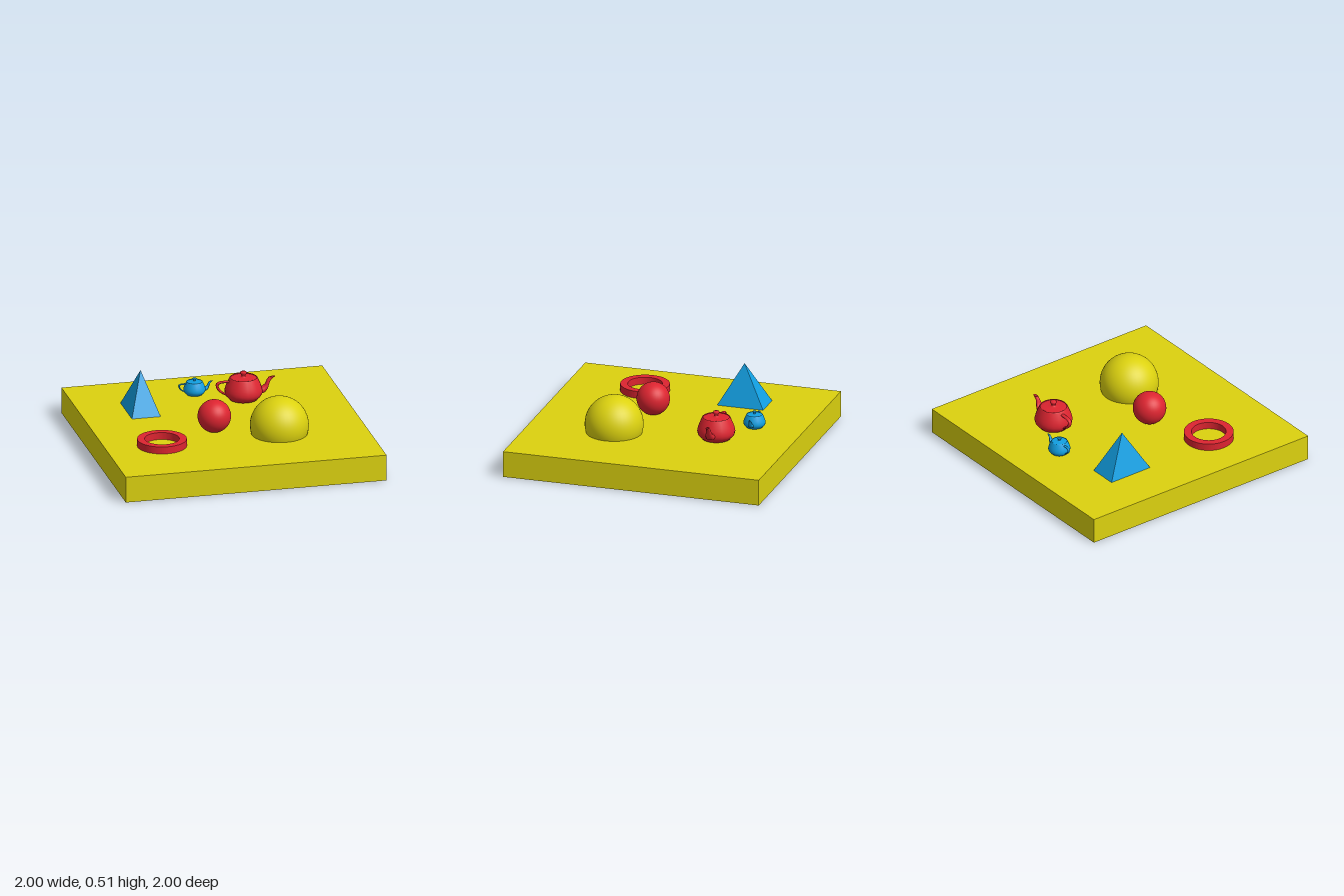
import * as THREE from 'three';

const flat = (name, color, side = THREE.FrontSide) => {
  const m = new THREE.MeshStandardMaterial({ color, side });
  m.name = name;
  return m;
};

const bez = (p, t) => {
  const s = 1 - t;
  return s * s * s * p[0] + 3 * s * s * t * p[1] + 3 * s * t * t * p[2] + t * t * t * p[3];
};

const STEPS = 5;

// Revolve a chain of cubic curves, each given as four [radius, height] pairs
function turned(curves) {
  const pts = [];
  curves.forEach((c, k) => {
    for (let i = k ? 1 : 0; i <= STEPS; i++) {
      const t = i / STEPS;
      pts.push(new THREE.Vector2(bez(c.map(p => p[0]), t), bez(c.map(p => p[1]), t)));
    }
  });
  return new THREE.LatheGeometry(pts, 20);
}

// Tube between an upper and a lower curve in the xy plane, with a varying width in z
function swept(sections) {
  const SIDES = 12, pos = [], idx = [];
  let rings = 0;
  sections.forEach(({ upper, lower, width }, k) => {
    for (let i = k ? 1 : 0; i <= STEPS; i++, rings++) {
      const t = i / STEPS;
      const a = [0, 1].map(j => bez(upper.map(p => p[j]), t));
      const b = [0, 1].map(j => bez(lower.map(p => p[j]), t));
      const w = bez(width, t);
      for (let s = 0; s < SIDES; s++) {
        const half = s < SIDES / 2;
        const u = half ? s / (SIDES / 2) : 2 - s / (SIDES / 2);
        const f = u * u * (3 - 2 * u);
        pos.push(a[0] + (b[0] - a[0]) * f, a[1] + (b[1] - a[1]) * f, (half ? 1 : -1) * 3 * u * (1 - u) * w);
      }
    }
  });
  for (let r = 0; r < rings - 1; r++) {
    for (let s = 0; s < SIDES; s++) {
      const a = r * SIDES + s, b = r * SIDES + (s + 1) % SIDES;
      idx.push(a, b, a + SIDES, b, b + SIDES, a + SIDES);
    }
  }
  const g = new THREE.BufferGeometry();
  g.setAttribute('position', new THREE.Float32BufferAttribute(pos, 3));
  g.setIndex(idx);
  g.computeVertexNormals();
  return g;
}

function add(parent, name, geometry, material, x = 0, y = 0, z = 0) {
  const mesh = new THREE.Mesh(geometry, material);
  mesh.name = name;
  mesh.position.set(x, y, z);
  parent.add(mesh);
  return mesh;
}

// Teapot with its spout towards +x, in units of half the body radius
function teapot(name, material) {
  const g = new THREE.Group();
  g.name = name;
  add(g, 'potBody', turned([
    [[0, 0], [1.425, 0], [1.5, 0.075], [1.5, 0.15]],
    [[1.5, 0.15], [1.5, 0.225], [2, 0.45], [2, 0.9]],
    [[2, 0.9], [2, 1.35], [1.75, 1.875], [1.5, 2.4]],
    [[1.5, 2.4], [1.4375, 2.53], [1.3375, 2.53], [1.4, 2.4]],
  ]), material);
  add(g, 'potLid', turned([
    [[1.4, 2.4], [1.4, 2.4], [1.3, 2.4], [1.3, 2.4]],
    [[1.3, 2.4], [1.3, 2.47], [0.4, 2.45], [0.2, 2.55]],
    [[0.2, 2.55], [0, 2.7], [0.8, 3.15], [0, 3.15]],
  ]), material);
  add(g, 'potHandle', swept([
    {
      upper: [[-1.5, 2.25], [-2.5, 2.25], [-3, 2.25], [-3, 1.8]],
      lower: [[-1.6, 2.025], [-2.3, 2.025], [-2.7, 2.025], [-2.7, 1.8]],
      width: [0.3, 0.3, 0.3, 0.3],
    }, {
      upper: [[-3, 1.8], [-3, 1.35], [-2.65, 0.9375], [-1.9, 0.6]],
      lower: [[-2.7, 1.8], [-2.7, 1.575], [-2.5, 1.125], [-2, 0.9]],
      width: [0.3, 0.3, 0.3, 0.3],
    },
  ]), material);
  add(g, 'potSpout', swept([
    {
      upper: [[1.7, 1.275], [2.6, 1.275], [2.3, 1.95], [2.7, 2.25]],
      lower: [[1.7, 0.45], [3.1, 0.675], [2.4, 1.875], [3.3, 2.25]],
      width: [0.66, 0.66, 0.25, 0.25],
    }, {
      upper: [[2.7, 2.25], [2.8, 2.325], [2.9, 2.325], [2.8, 2.25]],
      lower: [[3.3, 2.25], [3.525, 2.344], [3.45, 2.3625], [3.2, 2.25]],
      width: [0.25, 0.25, 0.15, 0.15],
    },
  ]), material);
  return g;
}

export function createModel() {
  const yellow = flat('yellow', 0xdcd20f);
  const red = flat('red', 0xdd2430, THREE.DoubleSide);
  const blue = flat('blue', 0x119fe1, THREE.DoubleSide);
  const model = new THREE.Group();
  model.name = 'shapesOnBoard';
  const TOP = 0.2;

  // Board
  add(model, 'board', new THREE.BoxGeometry(2, TOP, 2), yellow, 0, TOP / 2, 0);

  // Balls: the large one is sunk into the board
  add(model, 'largeBall', new THREE.SphereGeometry(0.22, 40, 28), yellow, 0.34, 0.264, 0.343);
  add(model, 'smallBall', new THREE.SphereGeometry(0.125, 36, 24), red, -0.12, 0.32, 0.185);

  // Flat ring
  const disc = new THREE.Shape().absarc(0, 0, 0.185, 0, Math.PI * 2);
  disc.holes.push(new THREE.Path().absarc(0, 0, 0.129, 0, Math.PI * 2, true));
  const ringGeo = new THREE.ExtrudeGeometry(disc, { depth: 0.055, bevelEnabled: false, curveSegments: 40 });
  ringGeo.rotateX(-Math.PI / 2);
  add(model, 'ring', ringGeo, red, -0.573, TOP, 0.395);

  // Pyramid on a rectangular base
  const pyramidGeo = new THREE.ConeGeometry(Math.SQRT1_2, 1, 4).toNonIndexed();
  pyramidGeo.rotateY(Math.PI / 4);
  pyramidGeo.scale(0.22, 0.315, 0.36);
  pyramidGeo.computeVertexNormals();
  add(model, 'pyramid', pyramidGeo, blue, -0.543, TOP + 0.1575, -0.393);

  // Teapots
  for (const [name, material, x, z, size] of [
    ['largeTeapot', red, 0.255, -0.428, 0.071],
    ['smallTeapot', blue, -0.073, -0.622, 0.0415],
  ]) {
    const pot = teapot(name, material);
    pot.scale.setScalar(size);
    pot.position.set(x, TOP, z);
    model.add(pot);
  }
  return model;
}
